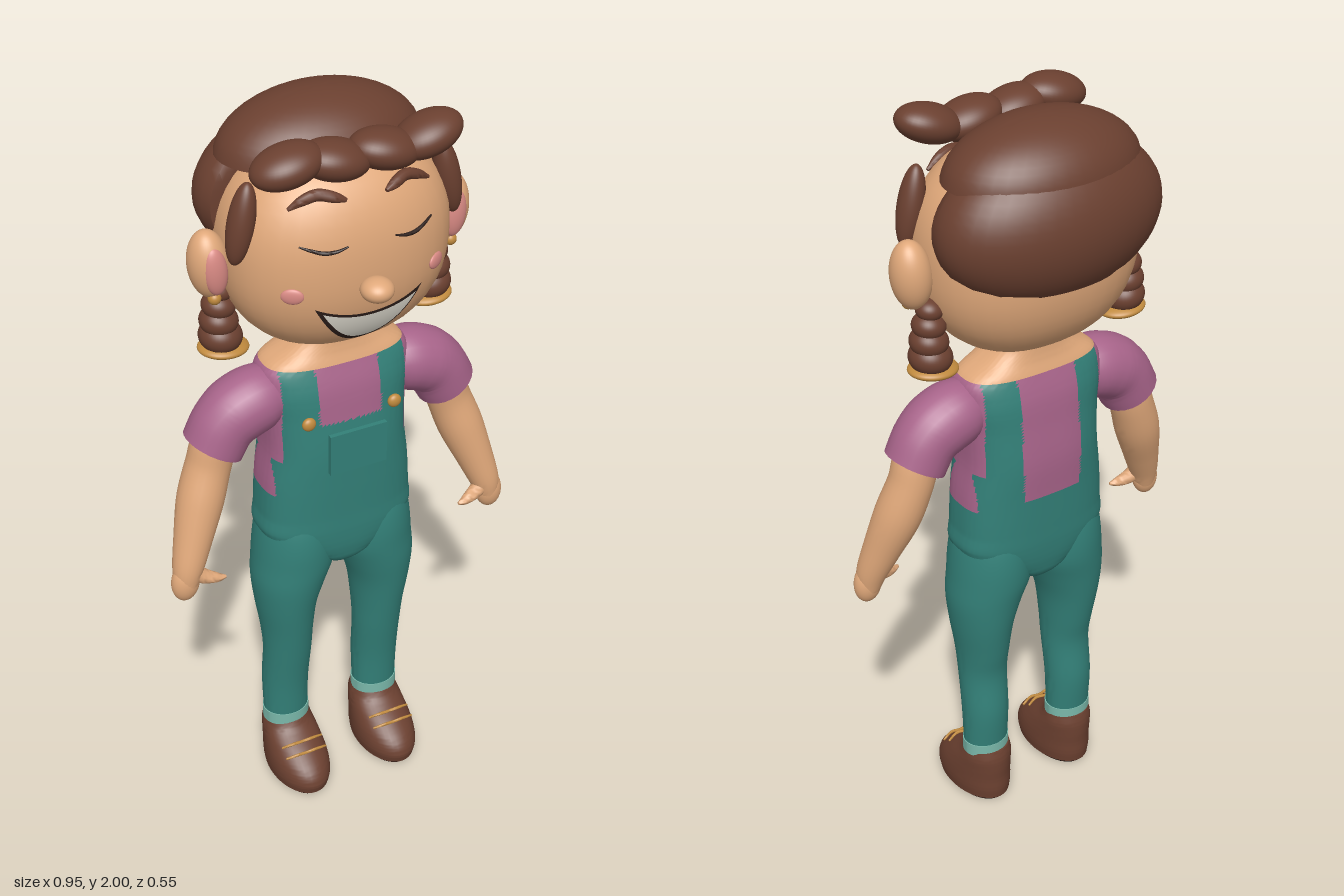
import * as THREE from 'three';
import { toCreasedNormals } from 'three/addons/utils/BufferGeometryUtils.js';

const mat = (name, color) => {
  const m = new THREE.MeshStandardMaterial({ color });
  m.name = name;
  return m;
};

// Skin a closed surface from rings: point(u, v), u wraps, v runs along the axis; pick(x, y, z) chooses a material
function skin(point, nu, nv, pick) {
  const pos = [], buckets = [[], [], []];
  for (let j = 0; j <= nv; j++) for (let i = 0; i < nu; i++) pos.push(...point(i / nu * Math.PI * 2, j, nv));
  const add = (...t) => {
    const c = [0, 1, 2].map(k => t.reduce((s, n) => s + pos[n * 3 + k], 0) / 3);
    buckets[pick ? pick(...c) : 0].push(...t);
  };
  for (let j = 0; j < nv; j++) for (let i = 0; i < nu; i++) {
    const a = j * nu + i, b = j * nu + (i + 1) % nu, c = a + nu, d = b + nu;
    add(a, c, b);
    add(b, c, d);
  }
  const g = new THREE.BufferGeometry();
  g.setAttribute('position', new THREE.Float32BufferAttribute(pos, 3));
  g.setIndex(buckets.flat());
  if (pick) {
    let start = 0;
    buckets.forEach((b, k) => { g.addGroup(start, b.length, k); start += b.length; });
  }
  return toCreasedNormals(g, 0.9);
}

// Smooth interpolation of table rows, the first and last steps being end caps
function rows(table, times) {
  const f = new THREE.CubicInterpolant(times, table.flat(), table[0].length);
  const t0 = times[0], t1 = times[times.length - 1];
  return (j, nv) => {
    const t = t0 + (t1 - t0) * THREE.MathUtils.clamp((j - 1) / (nv - 2), 0, 1);
    return [t, Array.from(f.evaluate(t)), j === 0 || j === nv ? 0 : 1];
  };
}

// Upright loft, rows of [y, cx, cz, rx, rz]; p sets the squareness of the section
function loft(table, { nu = 40, nv = 40, p = 2, pick } = {}) {
  const at = rows(table.map(r => r.slice(1)), table.map(r => r[0]));
  const pw = v => Math.sign(v) * Math.abs(v) ** (2 / p);
  return skin((u, j, n) => {
    const [y, [cx, cz, rx, rz], k] = at(j, n);
    return [cx + k * rx * pw(Math.cos(u)), y, cz + k * rz * pw(Math.sin(u))];
  }, nu, nv, pick);
}

// Round limb, rows of [x, y, z, radius]
function limb(table, nu = 24, nv = 36) {
  const at = rows(table, table.map((_, i) => i));
  const path = new THREE.CatmullRomCurve3(table.map(r => new THREE.Vector3(...r)));
  return skin((u, j, n) => {
    const [t, [x, y, z, r], k] = at(j, n);
    const T = path.getTangent(t / (table.length - 1));
    const N = new THREE.Vector3().crossVectors(T, new THREE.Vector3(0, 0, 1)).normalize();
    const B = new THREE.Vector3().crossVectors(N, T);
    N.multiplyScalar(Math.cos(u)).addScaledVector(B, Math.sin(u)).multiplyScalar(r * k);
    return [x + N.x, y + N.y, z + N.z];
  }, nu, nv);
}

// Ellipsoid whose vertices may be moved by a rule
function blob(rx, ry, rz, rule) {
  const g = new THREE.SphereGeometry(1, 40, 28), a = g.attributes.position, v = new THREE.Vector3();
  g.scale(rx, ry, rz);
  if (!rule) return g;
  for (let i = 0; i < a.count; i++) {
    rule(v.fromBufferAttribute(a, i));
    a.setXYZ(i, v.x, v.y, v.z);
  }
  g.deleteAttribute('normal');
  return toCreasedNormals(g, 0.9);
}

// Head: slightly squared ellipsoid
const HEAD = { y: 1.66, r: [0.285, 0.265, 0.215], p: 2.3 };
const faceZ = (x, y) => HEAD.r[2] * Math.max(0, 1 - Math.abs(x / HEAD.r[0]) ** HEAD.p
  - Math.abs((y - HEAD.y) / HEAD.r[1]) ** HEAD.p) ** (1 / HEAD.p);

// Grin-shaped thin plate laid on the face
function grin(w, topMid, botMid, corner, off) {
  const g = new THREE.PlaneGeometry(2, 1, 32, 8), a = g.attributes.position;
  for (let i = 0; i < a.count; i++) {
    const u = a.getX(i), v = a.getY(i) + 0.5, k = u * u;
    const y = THREE.MathUtils.lerp(botMid + (corner - botMid) * k, topMid + (corner - topMid) * k, v);
    a.setXYZ(i, u * w, y, faceZ(u * w, y) + off);
  }
  g.computeVertexNormals();
  return g;
}

export function createModel() {
  const root = new THREE.Group();
  root.name = 'figure';
  const skinTone = mat('skin', 0xe0a87a), hair = mat('hair and shoe brown', 0x6b4030), teal = mat('overall teal', 0x338078);
  const shirt = mat('shirt mauve', 0xa8648a), gold = mat('gold', 0xc08a3e), cuff = mat('cuff light teal', 0x7ab8aa);
  const pink = mat('pink', 0xd98a84), white = mat('teeth', 0xe2ded2), dark = mat('dark', 0x2c1e1a);
  const add = (name, geo, m, pos = [0, 0, 0], rot = [0, 0, 0]) => {
    const o = new THREE.Mesh(geo, m);
    o.name = name;
    o.position.set(...pos);
    o.rotation.set(...rot);
    root.add(o);
  };

  // Torso: skin neck, shirt and overalls picked by face position
  const dress = (x, y, z) => {
    const ax = Math.abs(x);
    if (y > 1.34) return 0;
    if (ax < 0.085) return y > (z > 0 ? 1.19 : 1.0) ? 1 : 2;
    return (ax > 0.168 && y > 1.08) || (ax > 0.186 && y > 0.98) ? 1 : 2;
  };
  add('torso', loft([
    [0.705, 0, 0, 0.015, 0.06], [0.74, 0, 0, 0.075, 0.098], [0.78, 0, 0, 0.145, 0.112], [0.84, 0, -0.001, 0.207, 0.12],
    [0.9, 0, -0.002, 0.206, 0.122], [1.0, 0, -0.002, 0.199, 0.125], [1.1, 0, -0.003, 0.187, 0.127],
    [1.2, 0, -0.003, 0.19, 0.118], [1.28, 0, -0.004, 0.2, 0.108], [1.34, 0, -0.005, 0.185, 0.09],
    [1.37, 0, -0.005, 0.135, 0.08], [1.4, 0, -0.005, 0.098, 0.075], [1.46, 0, -0.005, 0.085, 0.07],
  ], { nu: 120, nv: 96, p: 2.7, pick: dress }), [skinTone, shirt, teal]);
  add('bibPocket', new THREE.BoxGeometry(0.155, 0.115, 0.012), teal, [0, 1.125, 0.148]);

  // Head, nose and grin
  add('head', blob(1, 1, 1, v => {
    const n = (Math.abs(v.x) ** HEAD.p + Math.abs(v.y) ** HEAD.p + Math.abs(v.z) ** HEAD.p) ** (1 / HEAD.p);
    v.divideScalar(n).multiply(new THREE.Vector3(...HEAD.r));
  }), skinTone, [0, HEAD.y, 0]);
  add('nose', blob(0.04, 0.029, 0.041), skinTone, [0, 1.625, 0.235]);
  add('mouthOutline', grin(0.138, 1.55, 1.452, 1.585, 0.004), dark);
  add('teeth', grin(0.121, 1.545, 1.467, 1.571, 0.008), white);

  // Hair: back mass cut at front and below, top cap, and braided fringe
  add('backHair', blob(0.3, 0.2, 0.175, v => {
    v.z = Math.min(v.z, 0.055);
    v.y = Math.max(v.y, -0.07 + (v.z - 0.045) * 0.457);
  }), hair, [0, 1.76, -0.1]);
  add('topHair', blob(0.255, 0.14, 0.17, v => { v.y = Math.max(v.y, 0.01); }), hair, [0, 1.86, -0.07]);
  [[-0.18, 1.938, 0.2], [-0.065, 1.927, -0.2], [0.06, 1.927, -0.2], [0.168, 1.938, 0.3]].forEach(([x, y, r]) =>
    add('fringeBraid', blob(0.088, 0.047, 0.066), hair, [x, y, 0.145], [0, 0, r]));

  for (const s of [1, -1]) {
    const side = s > 0 ? 'left' : 'right';
    const part = (name, geo, m, [x, y, z] = [0, 0, 0], [rx, ry, rz] = [0, 0, 0]) =>
      add(side + name, geo, m, [x * s, y, z], [rx, ry * s, rz * s]);
    const bent = (t, ...n) => limb(t.map(([x, ...r]) => [x * s, ...r]), ...n);
    const drawn = (t, off) => bent(t.map(([x, y, r]) => [x, y, faceZ(x, y) + off, r]), 10, 20);

    // Face details
    part('Eye', drawn([[0.06, 1.737, 0.002], [0.085, 1.73, 0.004], [0.115, 1.729, 0.005], [0.145, 1.738, 0.004], [0.168, 1.747, 0.002]], 0.001), dark);
    part('Brow', drawn([[0.05, 1.838, 0.005], [0.075, 1.846, 0.013], [0.11, 1.853, 0.014], [0.145, 1.843, 0.012], [0.178, 1.825, 0.004]], 0.008), hair);
    part('Cheek', blob(0.027, 0.02, 0.008), pink, [0.185, 1.622, faceZ(0.185, 1.622)], [0, 0.55, 0]);

    // Ears, earrings, side locks and plaits
    part('Ear', blob(0.05, 0.088, 0.052), skinTone, [0.315, 1.652, 0], [0, 0, -0.08]);
    part('InnerEar', blob(0.03, 0.062, 0.02), pink, [0.313, 1.648, 0.036], [0, 0, -0.08]);
    part('Earring', blob(0.016, 0.016, 0.016), gold, [0.312, 1.57, 0.022]);
    part('SideLock', blob(0.032, 0.102, 0.034), hair, [0.264, 1.78, 0.077], [0, 0, 0.2]);
    [[0.282, 1.562, 0.034], [0.285, 1.522, 0.042], [0.286, 1.48, 0.048], [0.283, 1.438, 0.054]].forEach(([x, y, r]) =>
      part('Plait', blob(r, r * 0.8, r), hair, [x, y, -0.022], [0, 0, 0.15]));
    part('PlaitTie', blob(0.064, 0.018, 0.056), gold, [0.277, 1.404, -0.022], [0, 0, 0.06]);

    // Arm, sleeve, hand and thumb
    part('Arm', bent([[0.25, 1.22, 0, 0.05], [0.31, 1.17, 0, 0.058], [0.338, 1.09, 0, 0.058], [0.37, 1.0, 0.014, 0.06],
      [0.405, 0.9, 0.038, 0.049], [0.428, 0.83, 0.054, 0.04], [0.438, 0.78, 0.06, 0.03]]), skinTone);
    part('Sleeve', bent([[0.12, 1.25, 0, 0.055], [0.19, 1.25, 0, 0.082], [0.25, 1.232, 0, 0.086],
      [0.292, 1.2, 0, 0.082], [0.324, 1.143, 0, 0.08]]), shirt);
    part('Hand', blob(0.037, 0.056, 0.031), skinTone, [0.439, 0.795, 0.06], [0, 0, 0.1]);
    part('Thumb', bent([[0.43, 0.83, 0.06, 0.025], [0.395, 0.803, 0.068, 0.02], [0.36, 0.791, 0.077, 0.013], [0.337, 0.79, 0.082, 0.004]], 14, 18), skinTone);

    // Overall button, leg and cuff
    part('Button', blob(0.018, 0.018, 0.012), gold, [0.117, 1.21, 0.115]);
    part('Leg', loft([[0.18, 0.137, -0.01, 0.062, 0.053], [0.3, 0.137, -0.01, 0.064, 0.062], [0.43, 0.135, 0.004, 0.066, 0.068],
      [0.5, 0.136, 0.003, 0.07, 0.08], [0.6, 0.137, 0.002, 0.083, 0.097], [0.68, 0.127, 0.002, 0.1, 0.109],
      [0.74, 0.113, 0, 0.109, 0.116], [0.8, 0.109, 0, 0.107, 0.118], [0.86, 0.106, 0, 0.1, 0.112],
      [0.94, 0.1, 0, 0.08, 0.09]].map(([y, x, ...r]) => [y, x * s, ...r])), teal);
    part('Cuff', loft([[0.16, 0, -0.01, 0.065, 0.056], [0.197, 0, -0.01, 0.065, 0.056]], { nv: 6 }), cuff, [0.137, 0, 0]);

    // Shoe, sole and laces
    part('Shoe', loft([[0.012, 0, 0.052, 0.078, 0.129], [0.04, 0, 0.053, 0.082, 0.133], [0.075, 0, 0.044, 0.081, 0.123],
      [0.11, 0, 0.02, 0.076, 0.1], [0.145, 0, -0.008, 0.069, 0.07], [0.17, 0, -0.014, 0.062, 0.057]]), hair, [0.135, 0, 0]);
    part('Sole', loft([[0, 0, 0.052, 0.068, 0.118], [0.013, 0, 0.052, 0.078, 0.129]], { nv: 6 }), dark, [0.135, 0, 0]);
    for (const [y, z] of [[0.113, 0.116], [0.13, 0.088]]) {
      part('Lace', bent([[0.075, y - 0.006, z, 0.003], [0.105, y + 0.003, z + 0.008, 0.004], [0.135, y, z + 0.006, 0.004],
        [0.165, y + 0.003, z + 0.008, 0.004], [0.195, y - 0.006, z, 0.003]], 8, 16), gold);
    }
  }
  return root;
}
